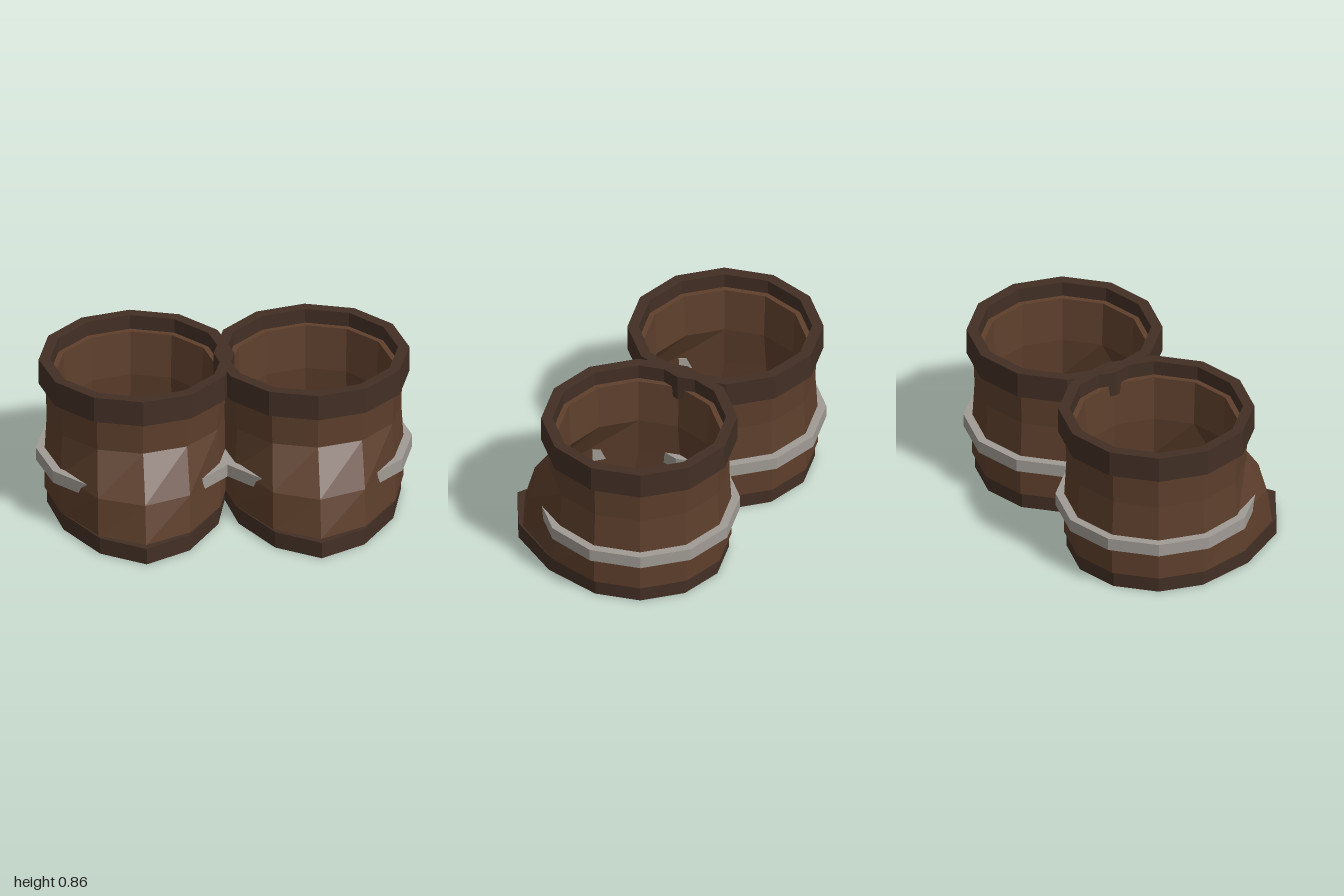
import * as THREE from 'three';

const SIDES = 12;
const CENTRE_Z = -0.1;

const leather = new THREE.MeshStandardMaterial({ color: 0x5e3f2c, flatShading: true });
const darkLeather = new THREE.MeshStandardMaterial({ color: 0x422f24, flatShading: true });
const metal = new THREE.MeshStandardMaterial({ color: 0xa09b94, flatShading: true });

// Twelve-sided cross-section; toe pushes the front, 30 and 60 degree corners forward
function ring(r, y, toe = []) {
  return Array.from({ length: SIDES }, (_, i) => {
    const a = (i / SIDES) * Math.PI * 2;
    const push = toe[Math.min(i, SIDES - i)] ?? 0;
    return [r * Math.sin(a), y, CENTRE_Z + r * Math.cos(a) + push];
  });
}

// Skin successive rings; first and last may limit the sweep to an arc
function loft(name, rings, material, first = 0, last = SIDES) {
  const index = [];
  for (let j = 0; j < rings.length - 1; j++) {
    for (let i = first; i < last; i++) {
      const n = (i + 1) % SIDES;
      const a = j * SIDES + i, b = j * SIDES + n;
      const c = b + SIDES, d = a + SIDES;
      index.push(a, b, c, a, c, d);
    }
  }
  let geometry = new THREE.BufferGeometry();
  geometry.setAttribute('position', new THREE.Float32BufferAttribute(rings.flat(2), 3));
  geometry.setIndex(index);
  geometry = geometry.toNonIndexed();
  geometry.computeVertexNormals();
  const mesh = new THREE.Mesh(geometry, material);
  mesh.name = name;
  return mesh;
}

// Rectangular hoop
function hoop(name, inner, outer, y0, y1, material, first, last) {
  return loft(name, [
    ring(inner, y0), ring(outer, y0), ring(outer, y1), ring(inner, y1), ring(inner, y0),
  ], material, first, last);
}

function createBoot(name) {
  const boot = new THREE.Group();
  boot.name = name;

  // Solid sole with a pointed toe
  const soleToe = [0.265, 0.19, 0.08];
  boot.add(loft('sole', [
    ring(0, 0), ring(0.475, 0, soleToe), ring(0.475, 0.092, soleToe), ring(0, 0.092),
  ], darkLeather));

  // Hollow upper: outside going up, over the rim, inside going down
  boot.add(loft('upper', [
    ring(0.49, 0.09, [0.205, 0.145, 0.045]),
    ring(0.49, 0.295, [0.145, 0.11, 0]),
    ring(0.477, 0.525),
    ring(0.485, 0.71),
    ring(0.485, 0.775),
    ring(0.43, 0.775),
    ring(0.417, 0.525),
    ring(0.44, 0.295, [0.14, 0.1, 0]),
    ring(0.44, 0.09, [0.2, 0.14, 0.04]),
  ], leather));

  // Cuff around the opening
  boot.add(hoop('cuff', 0.46, 0.52, 0.712, 0.857, darkLeather));

  // Metal band around the heel, its ends sunk into the upper
  boot.add(hoop('band', 0.485, 0.535, 0.257, 0.327, metal, 1, SIDES - 1));
  return boot;
}

export function createModel() {
  const model = new THREE.Group();
  model.name = 'boots';
  for (const side of [1, -1]) {
    const boot = createBoot(side > 0 ? 'leftBoot' : 'rightBoot');
    boot.position.x = side * 0.465;
    model.add(boot);
  }
  return model;
}
